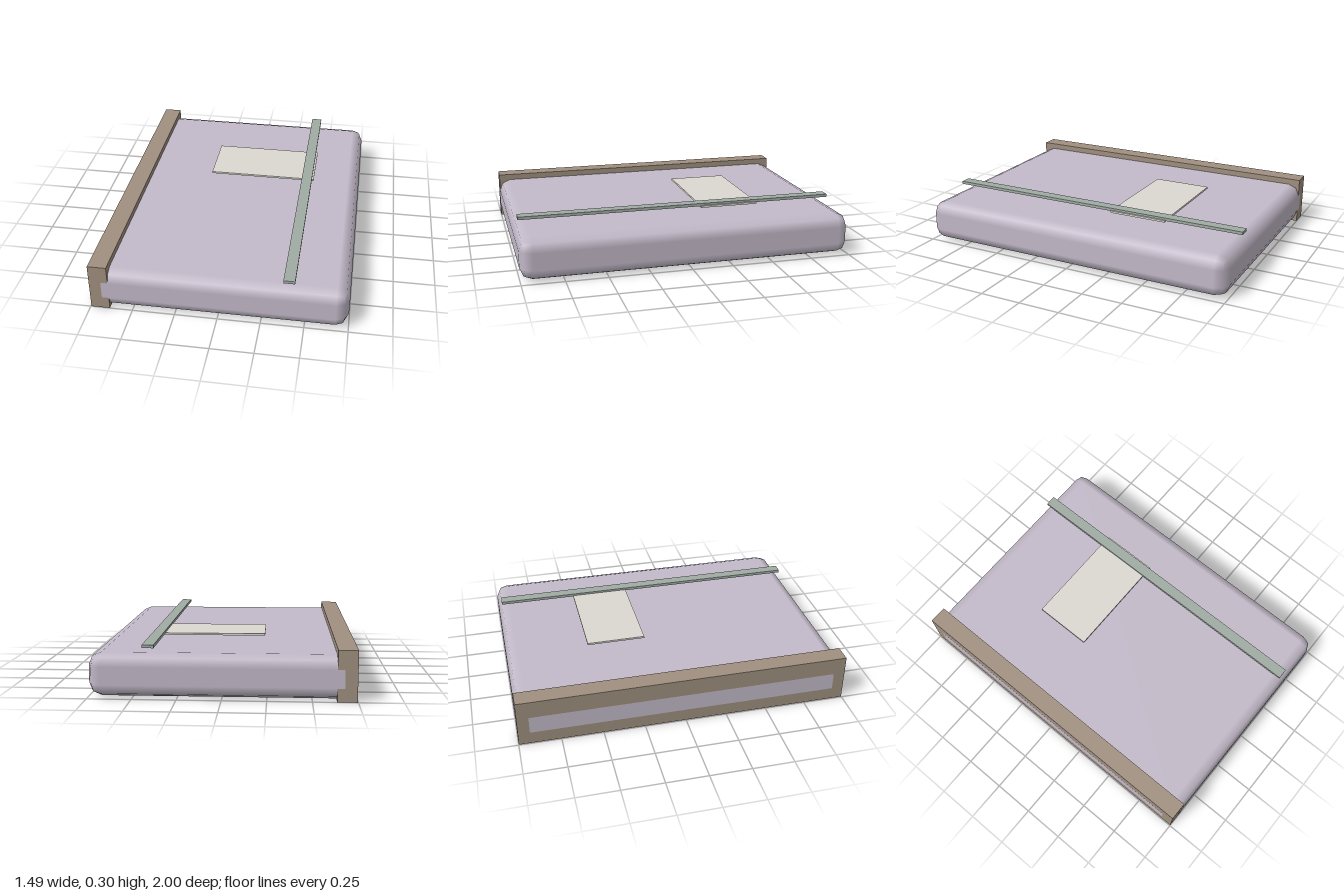
import * as THREE from 'three';
import { RoundedBoxGeometry } from 'three/addons/geometries/RoundedBoxGeometry.js';

export function createModel() {
  const book = new THREE.Group();
  book.name = 'notebook';

  const add = (name, geometry, color, x, y, z) => {
    const mesh = new THREE.Mesh(geometry, new THREE.MeshStandardMaterial({ color }));
    mesh.name = name;
    mesh.position.set(x, y, z);
    book.add(mesh);
  };

  // Soft-cornered block of cover and pages; its flat ends sit just proud of the spine
  add('cover', new RoundedBoxGeometry(1.494, 0.248, 2, 1, 0.073), 0xc3bac9, 0, 0.129, 0);

  // Square spine along the right-hand edge, taller than the cover
  add('spine', new THREE.BoxGeometry(0.111, 0.29, 1.998), 0xa09080, -0.6905, 0.145, 0);

  // Thin title plate hovering over the cover, overlapped by the strap
  add('titlePlate', new THREE.BoxGeometry(0.68, 0.012, 0.36), 0xdcd9d2, 0.11, 0.285, -0.32);

  // Elastic strap running the length of the book
  add('elasticStrap', new THREE.BoxGeometry(0.066, 0.018, 1.956), 0xa0aca4, 0.406, 0.295, -0.002);

  return book;
}
